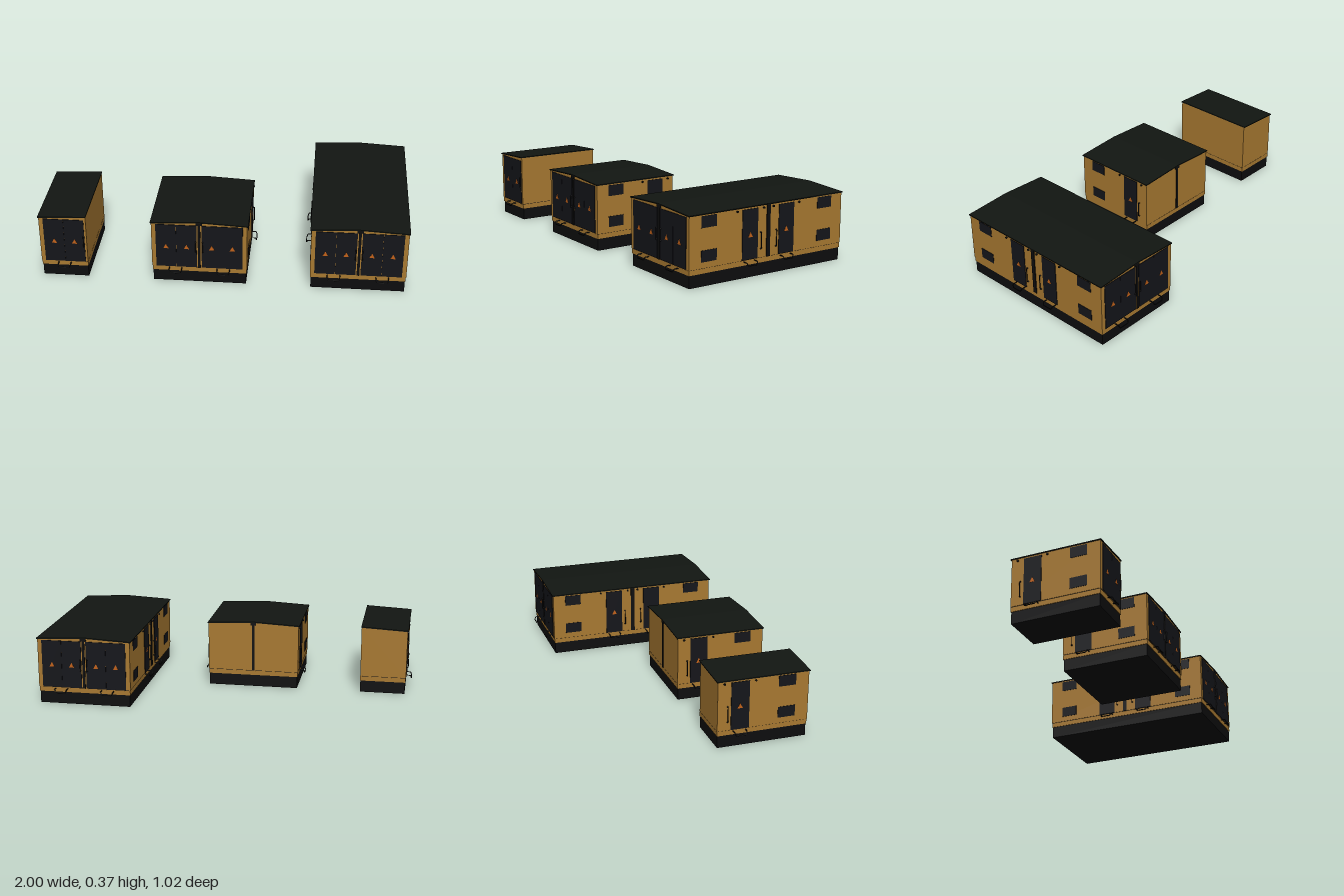
import * as THREE from 'three';

const mat = (color) => new THREE.MeshStandardMaterial({ color });
const OCHRE = mat(0xa87931), DARK = mat(0x14151a), ROOF = mat(0x121612),
  BLACK = mat(0x0d0d0e), ORANGE = mat(0xc2621a);

const HALF = 0.252, DEEP = 0.478; // wall distances from the seam lines

function add(parent, name, geo, material, x = 0, y = 0, z = 0) {
  const m = new THREE.Mesh(geo, material);
  m.name = name;
  m.position.set(x, y, z);
  parent.add(m);
  return m;
}

// box given by its ranges
function block(parent, name, material, x0, x1, y0, y1, z0, z1) {
  return add(parent, name, new THREE.BoxGeometry(Math.abs(x1 - x0), y1 - y0, z1 - z0), material,
    (x0 + x1) / 2, (y0 + y1) / 2, (z0 + z1) / 2);
}

// low-pitched cross-section extruded along z
const ridge = (x) => 0.373 - 0.05 * Math.abs(x);
function gable(parent, name, material, x0, x1, z0, z1, bottom, drop) {
  const xs = x0 < 0 && x1 > 0 ? [x1, 0, x0] : [x1, x0];
  const pts = xs.map((x) => new THREE.Vector2(x, ridge(x) - drop));
  const low = [...xs].reverse().map((x) => new THREE.Vector2(x, bottom(x)));
  const geo = new THREE.ExtrudeGeometry(new THREE.Shape([...low, ...pts]), { depth: z1 - z0, bevelEnabled: false });
  return add(parent, name, geo, material, 0, 0, z0);
}

function triangleSign(parent, u) {
  const s = new THREE.Shape([[-0.014, 0.205], [0.014, 0.205], [0, 0.232]].map((p) => new THREE.Vector2(...p)));
  add(parent, 'warningTriangle', new THREE.ExtrudeGeometry(s, { depth: 0.001, bevelEnabled: false }), ORANGE, u, 0, 0.003);
}

// bent bar, drawn as straight runs between points
function bar(parent, name, pts, r) {
  const path = new THREE.CurvePath();
  const v = pts.map((p) => new THREE.Vector3(...p));
  for (let i = 1; i < v.length; i++) path.add(new THREE.LineCurve3(v[i - 1], v[i]));
  add(parent, name, new THREE.TubeGeometry(path, 40, r, 6), BLACK);
}

// fold-down foot bar below a door
function step(parent, u) {
  bar(parent, 'step', [[u - 0.033, 0.083, -0.005], [u - 0.033, 0.083, 0.022], [u - 0.027, 0.068, 0.028],
    [u + 0.027, 0.068, 0.028], [u + 0.033, 0.083, 0.022], [u + 0.033, 0.083, -0.005]], 0.0028);
}

// grab rail standing off the wall
function rail(parent, u, y0, y1, out) {
  bar(parent, 'grabRail', [[u, y0, 0], [u, y0, out], [u, y1, out], [u, y1, 0]], 0.0022);
  for (const y of [y0, y1]) add(parent, 'railMount', new THREE.SphereGeometry(0.004, 10, 8), BLACK, u, y, 0.003);
}

// end wall half: a pair of door leaves; s is the side of the seam
function endDoors(s) {
  const g = new THREE.Group();
  g.name = 'endDoors';
  for (const [a, b] of [[0.013, 0.1205], [0.1215, 0.229]]) {
    block(g, 'doorLeaf', DARK, s * a, s * b, 0.093, 0.35, -0.004, 0.003);
    triangleSign(g, s * (a + b) / 2);
  }
  step(g, s * 0.127);
  rail(g, s * 0.018, 0.19, 0.25, 0.008);
  return g;
}

// side wall half: door, two windows, rail and lamps
function sideFittings(s) {
  const g = new THREE.Group();
  g.name = 'sideFittings';
  block(g, 'sideDoor', DARK, s * 0.066, s * 0.162, 0.092, 0.347, -0.004, 0.003);
  triangleSign(g, s * 0.113);
  for (const y of [0.122, 0.291]) block(g, 'window', DARK, s * 0.316, s * 0.408, y, y + 0.058, -0.004, 0.002);
  step(g, s * 0.114);
  rail(g, s * 0.048, 0.138, 0.221, 0.009);
  for (const d of [0.03, 0.194]) {
    const lamp = add(g, 'lamp', new THREE.CylinderGeometry(0.005, 0.005, 0.008, 14), BLACK, s * d, 0.343, 0.003);
    lamp.rotation.x = Math.PI / 2;
  }
  return g;
}

// one cabin; sx and sz list the sides of the seams that are present
function cabin(name, cx, sx, sz) {
  const g = new THREE.Group();
  g.name = name;
  g.position.x = cx;
  const range = (signs, size, open) => [signs.includes(-1) ? -size : -open, signs.includes(1) ? size : open];
  const X = (size, open = 0.002) => sx.length > 1 ? range(sx, size, 0) : [-size, -open];
  const Z = (size, open = 0.004) => range(sz, size, open);

  block(g, 'plinth', BLACK, ...X(0.247, 0.003), 0, 0.065, ...Z(0.473, 0.001));
  block(g, 'sill', OCHRE, ...X(0.25), 0.065, 0.09, ...Z(0.476));
  block(g, 'sillGroove', BLACK, ...X(0.2495, 0.0025), 0.0895, 0.0925, ...Z(0.4755, 0.0035));
  gable(g, 'walls', OCHRE, ...X(HALF), ...Z(DEEP), () => 0.092, 0.0035);
  gable(g, 'roof', ROOF, ...X(0.257, 0), ...Z(0.483, 0.01), (x) => ridge(x) - 0.005, 0);

  // end walls
  for (const z of [1, -1]) {
    const face = z * (sz.includes(z) ? DEEP : 0.004);
    if (sx.length > 1) {
      block(g, 'endSeamCover', BLACK, -0.007, 0.007, 0.091, 0.37, face - 0.004, face + 0.004);
      block(g, 'seamCap', BLACK, -0.016, 0.016, 0.352, 0.3715, face - 0.0045, face + 0.0045);
    }
    if (!sz.includes(z)) continue;
    for (const x of sx) {
      const d = endDoors(x * z);
      d.position.z = face;
      d.rotation.y = z > 0 ? 0 : Math.PI;
      g.add(d);
    }
  }

  // side walls
  for (const x of sx) {
    if (sz.length > 1) block(g, 'sideSeamCover', BLACK, x * HALF - 0.004, x * HALF + 0.004, 0.091, 0.36, -0.011, 0.011);
    for (const z of sz) {
      const f = sideFittings(-x * z);
      f.position.x = x * HALF;
      f.rotation.y = x * Math.PI / 2;
      g.add(f);
    }
  }
  return g;
}

export function createModel() {
  const model = new THREE.Group();
  model.name = 'modularCabins';
  model.add(cabin('singleCabin', -0.716, [-1], [1]));
  model.add(cabin('doubleCabin', -0.12, [-1, 1], [1]));
  model.add(cabin('quadCabin', 0.716, [-1, 1], [-1, 1]));
  return model;
}
